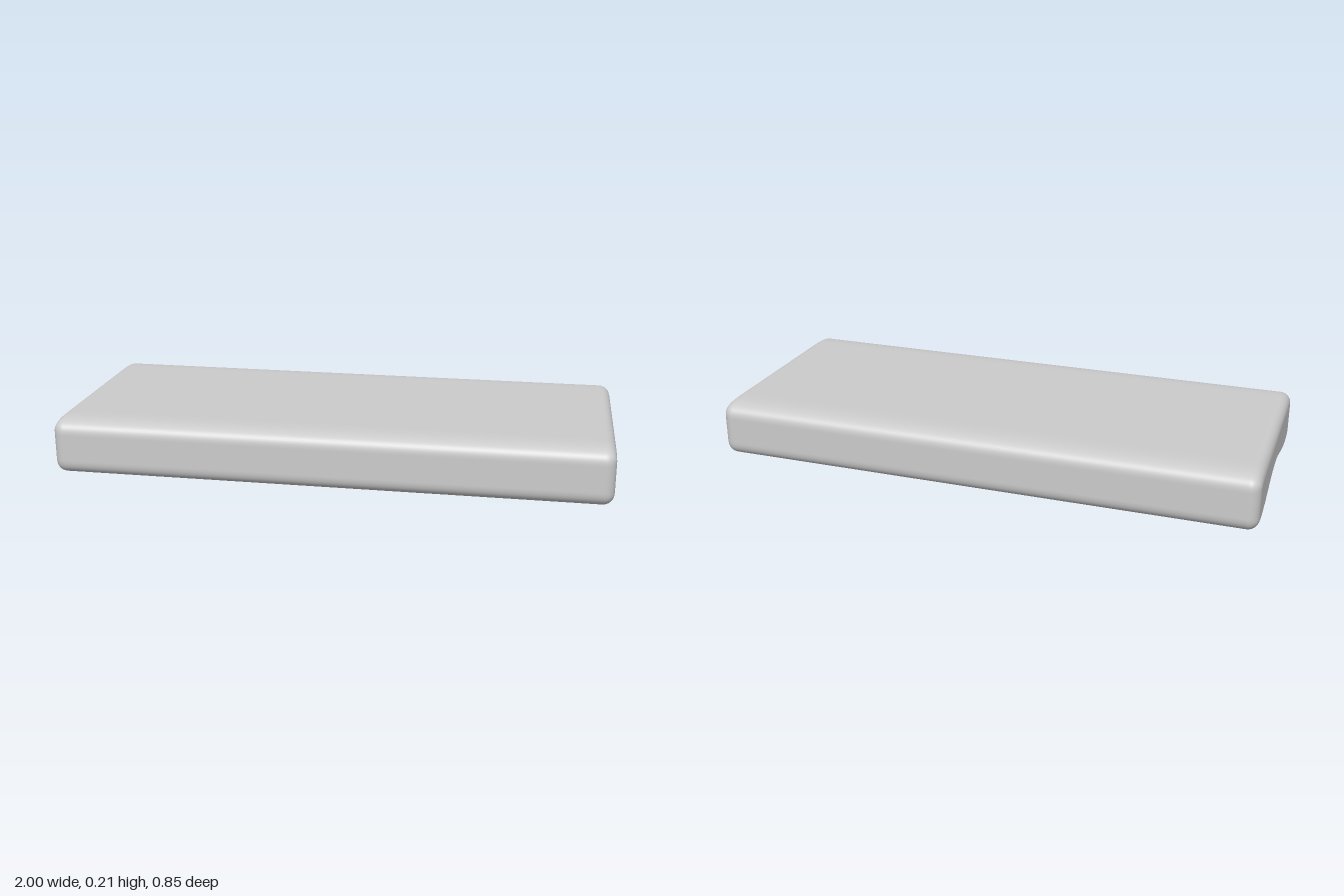
import * as THREE from 'three';

const HALF_LENGTH = 1;
const EDGE = 0.04; // rounding of the two ends
const EDGE_STEPS = 8;

// Cross-section: flat top, soft corners, two feet with a shallow hollow between
function crossSection() {
  const s = new THREE.Shape();
  s.moveTo(0, 0.053);
  s.bezierCurveTo(0.12, 0.053, 0.21, 0, 0.33, 0);
  s.bezierCurveTo(0.395, 0, 0.425, 0.015, 0.425, 0.06);
  s.lineTo(0.425, 0.155);
  s.bezierCurveTo(0.425, 0.2, 0.4, 0.213, 0.3, 0.213);
  s.lineTo(-0.3, 0.213);
  s.bezierCurveTo(-0.4, 0.213, -0.425, 0.2, -0.425, 0.155);
  s.lineTo(-0.425, 0.06);
  s.bezierCurveTo(-0.425, 0.015, -0.395, 0, -0.33, 0);
  s.bezierCurveTo(-0.21, 0, -0.12, 0.053, 0, 0.053);
  const pts = s.getPoints(16);
  if (pts[0].distanceTo(pts[pts.length - 1]) < 1e-6) pts.pop();
  return pts;
}

// Outward normal at each point of a counterclockwise outline
function outlineNormals(pts) {
  const n = pts.length;
  return pts.map((p, i) => {
    const before = p.clone().sub(pts[(i + n - 1) % n]).normalize();
    const after = pts[(i + 1) % n].clone().sub(p).normalize();
    const t = before.add(after).normalize();
    return new THREE.Vector2(t.y, -t.x);
  });
}

function slabGeometry() {
  const pts = crossSection();
  const normals = outlineNormals(pts);
  const n = pts.length;

  // Stations along x, each with how far the outline shrinks there
  const stations = [];
  for (let i = 0; i <= EDGE_STEPS; i++) {
    const a = (i / EDGE_STEPS) * Math.PI / 2;
    stations.push({ x: -HALF_LENGTH + EDGE * (1 - Math.cos(a)), inset: EDGE * (1 - Math.sin(a)) });
  }
  for (let i = EDGE_STEPS; i >= 0; i--) {
    stations.push({ x: -stations[i].x, inset: stations[i].inset });
  }

  const position = [];
  for (const { x, inset } of stations) {
    pts.forEach((p, j) => {
      position.push(x, p.y - normals[j].y * inset, -(p.x - normals[j].x * inset));
    });
  }

  // Skin between stations
  const index = [];
  for (let i = 0; i < stations.length - 1; i++) {
    for (let j = 0; j < n; j++) {
      const k = (j + 1) % n;
      const a = i * n + j, b = i * n + k, c = a + n, d = b + n;
      index.push(a, b, c, b, d, c);
    }
  }

  // Flat end faces
  const endOutline = pts.map((p, j) => p.clone().addScaledVector(normals[j], -EDGE));
  const last = (stations.length - 1) * n;
  for (const [a, b, c] of THREE.ShapeUtils.triangulateShape(endOutline, [])) {
    index.push(last + a, last + b, last + c, c, b, a);
  }

  const g = new THREE.BufferGeometry();
  g.setAttribute('position', new THREE.Float32BufferAttribute(position, 3));
  g.setIndex(index);
  g.computeVertexNormals();
  return g;
}

export function createModel() {
  const model = new THREE.Group();
  model.name = 'roundedSlab';
  const slab = new THREE.Mesh(slabGeometry(), new THREE.MeshStandardMaterial({ color: 0xcccccc }));
  slab.name = 'slab';
  model.add(slab);
  return model;
}
